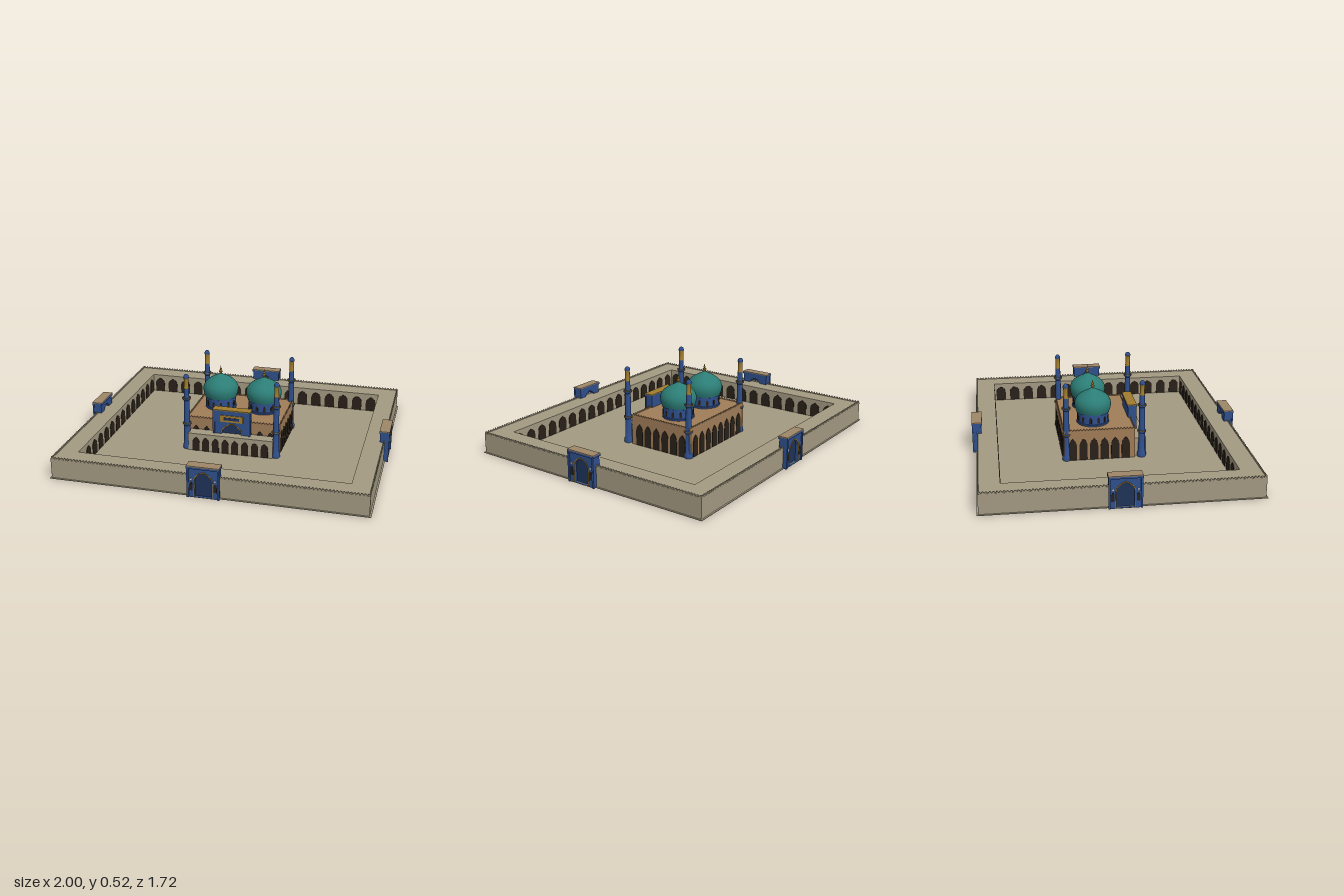
import * as THREE from 'three';
import { mergeGeometries, toCreasedNormals } from 'three/addons/utils/BufferGeometryUtils.js';

const mat = (color, side = THREE.FrontSide) => new THREE.MeshStandardMaterial({ color, side });
const stone = mat(0xa39a82), brick = mat(0xa17d58), blue = mat(0x2f4f8c), deepBlue = mat(0x1f3358);
const teal = mat(0x2c7d76), gold = mat(0xa17c2e), dark = mat(0x2a2119), pale = mat(0xb9bcc4), tan = mat(0x9f8768);

function add(parent, name, geo, material, x = 0, y = 0, z = 0) {
  const mesh = new THREE.Mesh(geo, material);
  mesh.name = name;
  mesh.position.set(x, y, z);
  parent.add(mesh);
  return mesh;
}

// box standing on y
function box(parent, name, material, w, h, d, x, y, z) {
  return add(parent, name, new THREE.BoxGeometry(w, h, d), material, x, y + h / 2, z);
}

function lathe(points, segments = 32) {
  const profile = points.map(([r, y]) => new THREE.Vector2(r, y));
  return toCreasedNormals(new THREE.LatheGeometry(profile, segments), 0.7);
}

// pointed arch outline standing on y0
function arch(path, w, h, y0 = 0, x = 0) {
  const spring = y0 + h * 0.62, a = w / 2;
  path.moveTo(x - a, y0);
  path.lineTo(x + a, y0);
  path.lineTo(x + a, spring);
  path.quadraticCurveTo(x + a, y0 + h * 0.86, x, y0 + h);
  path.quadraticCurveTo(x - a, y0 + h * 0.86, x - a, spring);
  path.closePath();
  return path;
}

const extrude = (shape, depth) =>
  new THREE.ExtrudeGeometry(shape, { depth, bevelEnabled: false, curveSegments: 6 });

// row of arched panels centred on x, facing +z
function archRow(length, count, w, h, y0 = 0.004) {
  const step = length / count, parts = [];
  for (let i = 0; i < count; i++)
    parts.push(extrude(arch(new THREE.Shape(), w, h, y0, (i + 0.5) * step - length / 2), 0.003));
  return mergeGeometries(parts);
}

// zigzag battlement strip centred on x
function battlement(length, pitch, h) {
  const n = Math.round(length / pitch), step = length / n, s = new THREE.Shape();
  s.moveTo(-length / 2, 0);
  s.lineTo(length / 2, 0);
  for (let i = n; i > 0; i--) {
    s.lineTo((i - 0.5) * step - length / 2, h);
    s.lineTo((i - 1) * step - length / 2, h * 0.1);
  }
  return extrude(s, 0.006);
}

// calls fn(group, length, distance, index) for front, right, back and left
function fourSides(parent, name, halfX, halfZ, fn) {
  for (let i = 0; i < 4; i++) {
    const g = new THREE.Group();
    g.name = name;
    g.rotation.y = i * Math.PI / 2;
    parent.add(g);
    fn(g, 2 * (i % 2 ? halfZ : halfX), i % 2 ? halfX : halfZ, i);
  }
}

// arched gateway; outer face at z = 0, body runs back to -d
function gateway(name, w, h, d, archW, archH, capMaterial) {
  const g = new THREE.Group();
  g.name = name;
  const s = new THREE.Shape();
  s.moveTo(-w / 2 + 0.005, 0);
  s.lineTo(w / 2 - 0.005, 0);
  s.lineTo(w / 2 - 0.005, h - 0.01);
  s.lineTo(-w / 2 + 0.005, h - 0.01);
  s.closePath();
  s.holes.push(arch(new THREE.Path(), archW, archH, 0.004));
  add(g, 'gateBody', extrude(s, d - 0.013), blue, 0, 0, -d + 0.005);
  add(g, 'door', extrude(arch(new THREE.Shape(), archW, archH, 0.004), 0.01), deepBlue, 0, 0, -d * 0.55);
  const trim = arch(new THREE.Shape(), archW + 0.01, archH + 0.008, 0.002);
  trim.holes.push(arch(new THREE.Path(), archW, archH, 0.003));
  add(g, 'archTrim', extrude(trim, 0.004), gold, 0, 0, -0.009);
  box(g, 'cap', capMaterial, w, 0.006, d, 0, h - 0.006, -d / 2);
  box(g, 'cornice', blue, w, 0.012, d, 0, h - 0.018, -d / 2);
  for (const side of [-1, 1]) {
    box(g, 'pilaster', blue, 0.012, h - 0.018, 0.01, side * (w / 2 - 0.007), 0, -0.006);
    const x = side * (archW / 2 + w / 2 - 0.006) / 2;
    add(g, 'sideNiche', extrude(arch(new THREE.Shape(), 0.02, 0.055, 0.045, x), 0.003), dark, 0, 0, -0.009);
    const rosette = add(g, 'rosette', new THREE.CylinderGeometry(0.006, 0.006, 0.004, 8), pale, x, 0.118, -0.007);
    rosette.rotation.x = Math.PI / 2;
  }
  return g;
}

function minaret() {
  const g = new THREE.Group();
  g.name = 'minaret';
  add(g, 'shaft', lathe([[0, 0], [0.027, 0], [0.027, 0.03], [0.022, 0.04], [0.02, 0.17], [0.018, 0.35],
    [0.016, 0.42], [0, 0.42]], 16), blue);
  for (const y of [0.175, 0.35]) {
    add(g, 'balcony', lathe([[0.017, y - 0.014], [0.028, y - 0.001], [0.028, y + 0.005], [0.017, y + 0.005]], 16), blue);
    add(g, 'balconyRail', new THREE.TorusGeometry(0.026, 0.003, 6, 20), gold, 0, y + 0.006, 0).rotation.x = Math.PI / 2;
  }
  add(g, 'lantern', lathe([[0.016, 0.42], [0.017, 0.425], [0.015, 0.43], [0.015, 0.488], [0.018, 0.492]], 16), gold);
  add(g, 'cap', lathe([[0, 0.49], [0.018, 0.49], [0.018, 0.497], [0.014, 0.508], [0.007, 0.514], [0, 0.516]], 16), blue);
  return g;
}

function dome() {
  const g = new THREE.Group();
  g.name = 'dome';
  add(g, 'drum', lathe([[0.104, 0.19], [0.104, 0.21], [0.099, 0.213], [0.099, 0.27], [0.106, 0.273], [0.106, 0.28]]), blue);
  add(g, 'shell', lathe([[0.1, 0.275], [0.106, 0.277], [0.113, 0.295], [0.117, 0.32], [0.116, 0.338], [0.108, 0.358],
    [0.093, 0.377], [0.072, 0.393], [0.047, 0.407], [0.024, 0.418], [0.01, 0.428], [0, 0.431]], 40), teal);
  add(g, 'finial', lathe([[0.012, 0.423], [0.006, 0.432], [0.012, 0.439], [0.012, 0.445], [0.004, 0.451],
    [0.008, 0.457], [0.007, 0.462], [0.003, 0.466], [0, 0.487]], 12), gold);
  // windows round the drum
  for (let i = 0; i < 12; i++) {
    const a = (i + 0.5) * Math.PI / 6;
    const win = add(g, 'drumWindow', extrude(arch(new THREE.Shape(), 0.016, 0.036, 0.22), 0.004), dark,
      Math.sin(a) * 0.097, 0, Math.cos(a) * 0.097);
    win.rotation.y = a;
  }
  return g;
}

export function createModel() {
  const model = new THREE.Group();
  model.name = 'domedCourtyardBuilding';

  // ground slab and enclosing gallery
  box(model, 'ground', stone, 1.96, 0.004, 1.68, 0, 0, 0);
  const rect = (path, x, z) => path.moveTo(-x, -z).lineTo(x, -z).lineTo(x, z).lineTo(-x, z).closePath();
  const ring = rect(new THREE.Shape(), 0.97, 0.83);
  ring.holes.push(rect(new THREE.Path(), 0.845, 0.7));
  add(model, 'enclosureWall', extrude(ring, 0.13), stone).rotation.x = -Math.PI / 2;
  fourSides(model, 'enclosureSide', 0.97, 0.83, (g, length, dist, i) => {
    add(g, 'battlement', battlement(length, 0.02, 0.013), stone, 0, 0.13, dist - 0.007);
    const inner = length - 0.255;
    const arcade = add(g, 'courtArcade', archRow(inner, Math.round(inner / 0.1), 0.068, 0.102), dark,
      0, 0, dist - (i % 2 ? 0.125 : 0.13));
    arcade.rotation.y = Math.PI;
    const gate = gateway('gate', 0.2, 0.205, 0.065, 0.105, 0.16, tan);
    gate.position.z = dist + 0.03;
    g.add(gate);
  });

  // main hall
  const hall = new THREE.Group();
  hall.name = 'hall';
  hall.position.z = -0.0625;
  model.add(hall);
  box(hall, 'hallBody', brick, 0.62, 0.2, 0.455, 0, 0, 0);
  fourSides(hall, 'hallSide', 0.31, 0.2275, (g, length, dist) => {
    add(g, 'hallBattlement', battlement(length, 0.02, 0.011), brick, 0, 0.2, dist - 0.006);
    add(g, 'hallArches', archRow(length - 0.05, Math.round(length / 0.082), 0.052, 0.145), dark, 0, 0, dist);
  });

  // front porch and portal
  box(model, 'porch', stone, 0.56, 0.122, 0.08, 0, 0, 0.202);
  add(model, 'porchArches', archRow(0.52, 8, 0.046, 0.095), dark, 0, 0, 0.242);
  const portal = gateway('portal', 0.25, 0.29, 0.062, 0.13, 0.19, gold);
  portal.position.z = 0.206;
  model.add(portal);
  box(portal, 'portalPanel', gold, 0.15, 0.045, 0.006, 0, 0.207, -0.006);
  box(portal, 'portalPanelInset', deepBlue, 0.1, 0.018, 0.004, 0, 0.22, -0.003);

  // minarets and domes
  for (const side of [-1, 1]) {
    for (const z of [-0.27, 0.21]) {
      const m = minaret();
      m.position.set(side * 0.295, 0, z);
      model.add(m);
    }
    const d = dome();
    d.position.set(side * 0.147, 0, -0.085);
    model.add(d);
  }
  return model;
}
